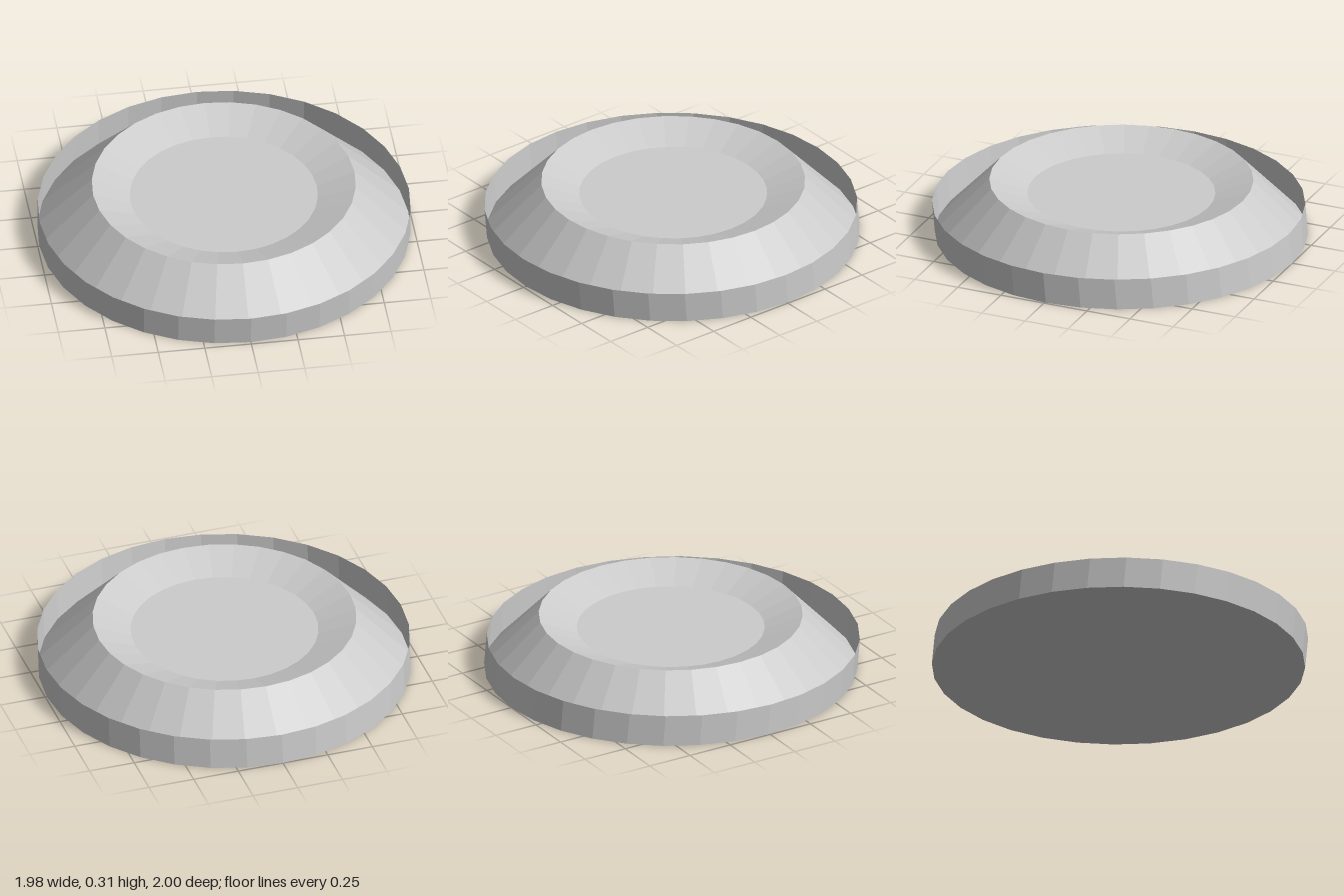
import * as THREE from 'three';

const SIDES = 32;
const RADIUS = 0.992;
const WALL_HEIGHT = 0.17;
const LEAN = 0.008; // half the forward lean of the rim wall

export function createModel() {
  const group = new THREE.Group();
  group.name = 'dish';
  const grey = new THREE.MeshStandardMaterial({ color: 0xcccccc, flatShading: true });
  const thin = grey.clone();
  thin.side = THREE.DoubleSide;

  // Closed body: flat base, sloping outer cone, recessed bowl with flat floor
  const profile = [
    [0, 0], [RADIUS, 0], [0.702, 0.306], [0.5, 0.23], [0, 0.23],
  ].map(([r, y]) => new THREE.Vector2(r, y));
  const body = new THREE.Mesh(new THREE.LatheGeometry(profile, SIDES), grey);
  body.name = 'bowlBody';
  body.position.z = -LEAN;
  group.add(body);

  // Thin upright wall around the base, leaning slightly forward
  const wallGeometry = new THREE.CylinderGeometry(RADIUS, RADIUS, WALL_HEIGHT, SIDES, 1, true);
  wallGeometry.translate(0, WALL_HEIGHT / 2, 0);
  const p = wallGeometry.attributes.position;
  for (let i = 0; i < p.count; i++) {
    p.setZ(i, p.getZ(i) + LEAN * (2 * p.getY(i) / WALL_HEIGHT - 1));
  }
  wallGeometry.computeVertexNormals();
  const wall = new THREE.Mesh(wallGeometry, thin);
  wall.name = 'rimWall';
  group.add(wall);

  return group;
}
